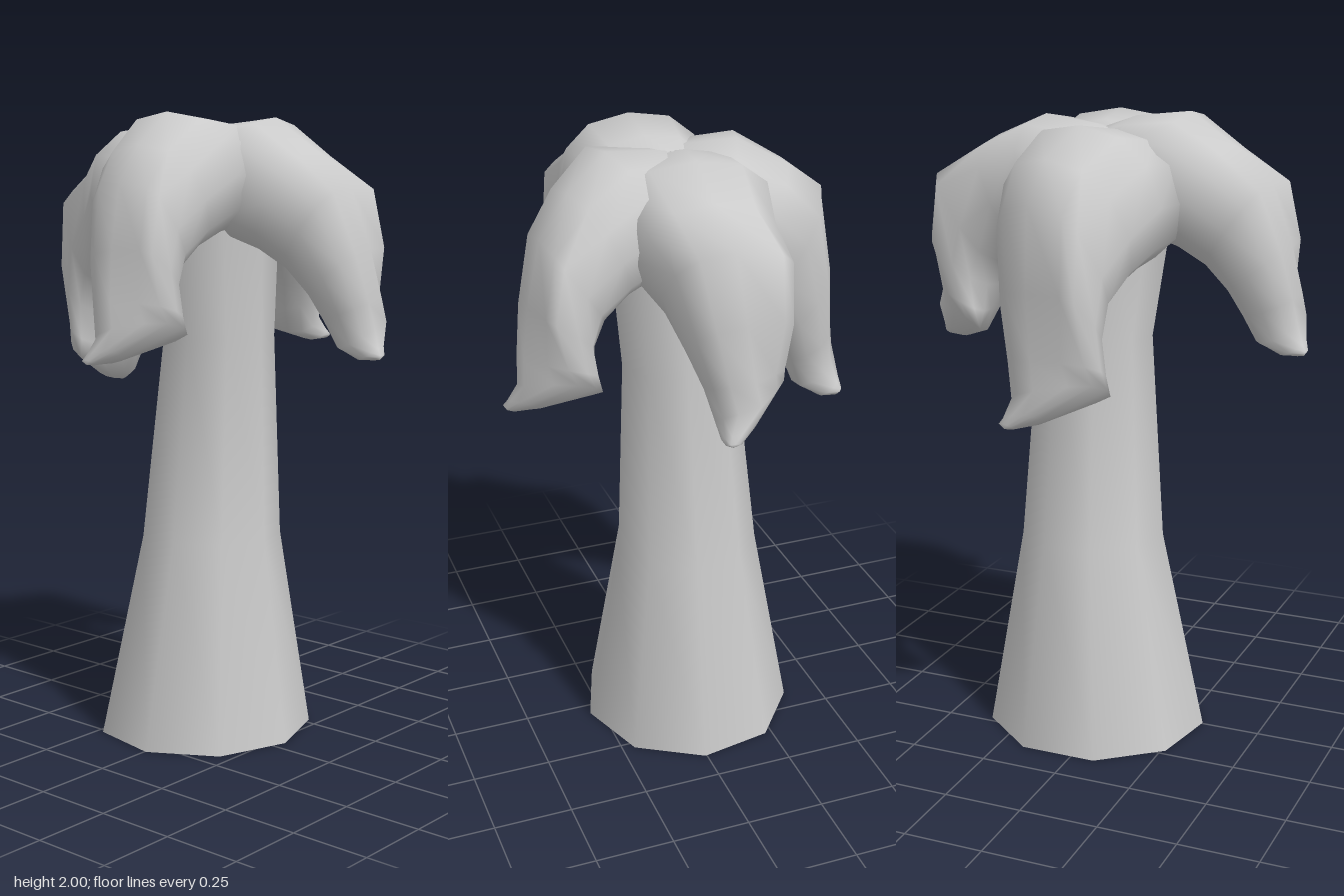
import * as THREE from 'three';

const material = new THREE.MeshStandardMaterial({ color: 0xcccccc, side: THREE.DoubleSide });

// Skin a list of closed rings, each an array of [x, y, z] points.
function loft(rings) {
  const n = rings[0].length;
  const index = [];
  for (let i = 0; i < rings.length - 1; i++) {
    for (let j = 0; j < n; j++) {
      const a = i * n + j, b = i * n + (j + 1) % n;
      index.push(a, b, a + n, b, b + n, a + n);
    }
  }
  const geometry = new THREE.BufferGeometry();
  geometry.setAttribute('position', new THREE.Float32BufferAttribute(rings.flat(2), 3));
  geometry.setIndex(index);
  geometry.computeVertexNormals();
  return geometry;
}

// Flared trunk, open at the base: [y, centre x, centre z, radius x, radius z]
function trunkGeometry() {
  const sections = [
    [0, -0.055, -0.045, 0.345, 0.358],
    [0.65, -0.045, -0.062, 0.23, 0.23],
    [1.3, -0.015, -0.065, 0.18, 0.184],
    [1.78, 0.0, -0.03, 0.2, 0.22],
  ];
  return loft(sections.map(([y, cx, cz, rx, rz]) =>
    Array.from({ length: 9 }, (_, j) => {
      const a = (j / 9) * Math.PI * 2;
      return [cx + rx * Math.cos(a), y, cz - rz * Math.sin(a)];
    })));
}

// Thick drooping frond, reaching out along +z to a narrow tip. One side has a
// square shoulder and a lower corner set back towards the trunk.
// Section: [upper z, upper y, lower z, lower y, left x, right x, sideways tilt, setback]
function frondGeometry(bulge) {
  const sections = [
    [-0.03, 1.95, -0.02, 1.72, -0.09, 0.08, 0, 0],
    [0.05, 1.98, 0.04, 1.64, -0.16, 0.25, 0, 0],
    [0.23, 2.0, 0.13, 1.62, -0.2, 0.27, 0, 0],
    [0.37, 1.9, 0.22, 1.585, -0.155, 0.25, 0, 0],
    [0.48, 1.79, 0.29, 1.53, -0.095, 0.245, 0, -0.03],
    [0.54, 1.6, 0.35, 1.46, -0.045, 0.245, 0.01, 0],
    [0.57, 1.45, 0.39, 1.38, 0.0, 0.245, 0.01, 0.06],
    [0.58, 1.38, 0.43, 1.31, 0.025, 0.25, 0.03, 0.11],
    [0.6, 1.31, 0.52, 1.27, 0.03, 0.13, 0.01, 0.02],
    [0.61, 1.285, 0.58, 1.268, 0.035, 0.08, 0, 0],
    [0.6, 1.27, 0.6, 1.27, 0.055, 0.055, 0, 0],
  ];
  const swells = { 3: 0.8, 4: 1, 5: 0.5 };
  return loft(sections.map(([uz, uy, lz, ly, x0, x1, tilt, setback], i) => {
    const swell = bulge * (swells[i] ?? 0);
    return Array.from({ length: 12 }, (_, j) => {
      const a = (j / 12) * Math.PI * 2;
      const shoulder = (i === 4 || i === 5) && (j === 1 || j === 2);
      const soften = t => Math.sign(t) * Math.abs(t) ** (shoulder ? 0.45 : 0.85);
      const c = soften(Math.cos(a)), s = soften(Math.sin(a));
      const up = Math.max(s, 0) * swell;
      return [
        (x0 + x1) / 2 + c * (x1 - x0) / 2,
        (uy + ly) / 2 + s * (uy - ly) / 2 + tilt * c + up,
        (uz + lz) / 2 + s * (uz - lz) / 2 - setback * Math.max(c, 0) + up,
      ];
    });
  }));
}

export function createModel() {
  const model = new THREE.Group();
  model.name = 'palmTree';

  const trunk = new THREE.Mesh(trunkGeometry(), material);
  trunk.name = 'trunk';
  model.add(trunk);

  // Four fronds: [name, heading in degrees, width, height and reach scales, top height, bulge]
  const fronds = [
    ['frontFrond', 0, 1, 1, 1, 2, 0],
    ['leftFrond', 100, 1.02, 1, 0.96, 1.985, 0],
    ['backFrond', 173, 1.05, 1, 1, 1.98, 0.035],
    ['rightFrond', 250, 1.22, 1.17, 0.93, 1.97, 0.035],
  ];
  for (const [name, heading, width, height, reach, top, bulge] of fronds) {
    const mesh = new THREE.Mesh(frondGeometry(bulge), material);
    mesh.name = name;
    mesh.rotation.y = THREE.MathUtils.degToRad(heading);
    mesh.scale.set(width, height, reach);
    mesh.position.y = top - 2 * height;
    model.add(mesh);
  }
  return model;
}
